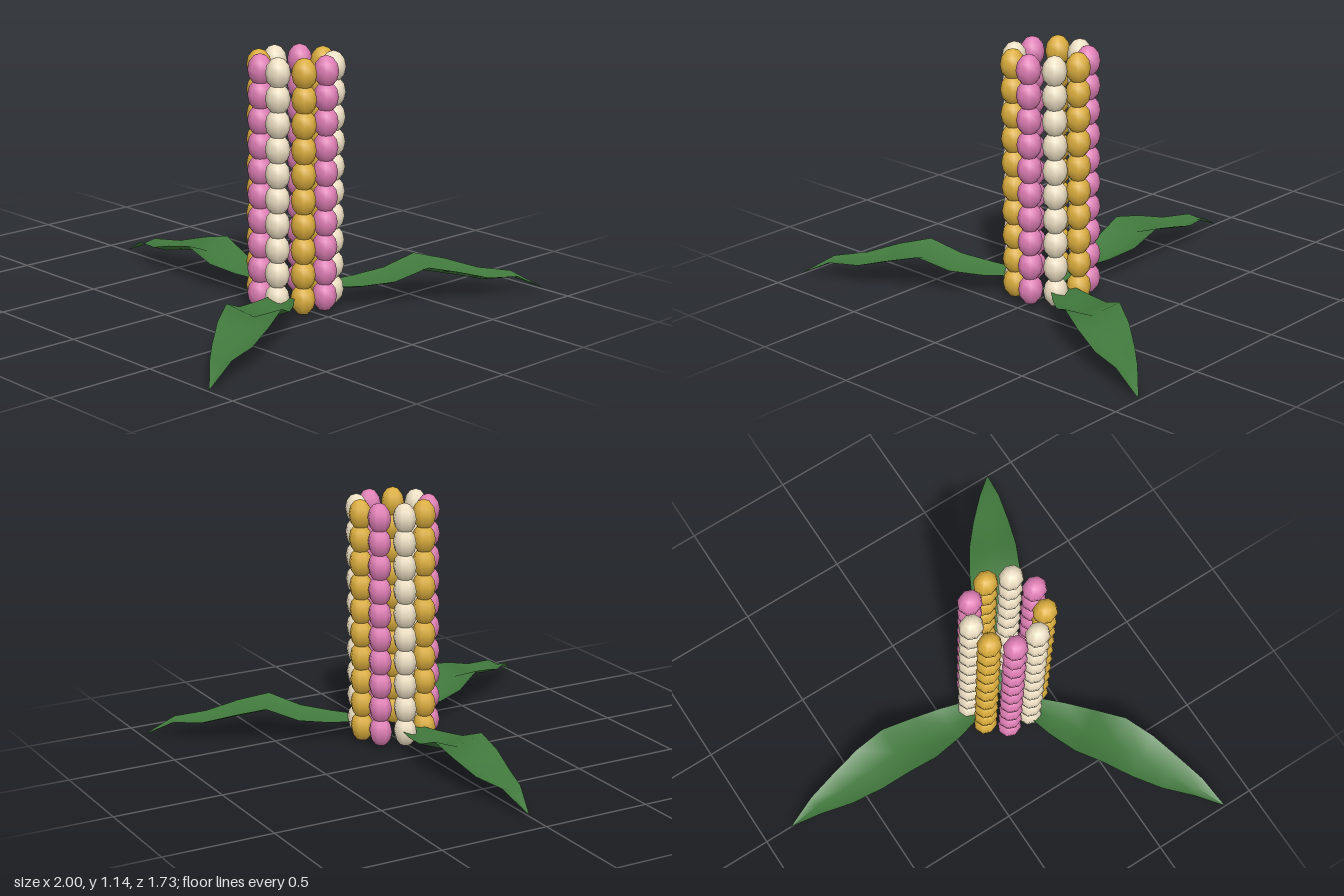
import * as THREE from 'three';

const CENTER_Z = 0.285;

// Pointed leaf running along -z: rises and falls along its spine, edges lifted into a shallow V
function leafGeometry() {
  const length = 1.155, halfWidth = 0.12, lift = 0.045;
  const spine = [0, 0.073, 0.066, 0.075, 0.128, 0.099, 0.066, 0.067, 0.005];
  const rows = spine.length - 1;
  const geo = new THREE.PlaneGeometry(2, 1, 2, rows);
  const pos = geo.attributes.position;
  for (let i = 0; i < pos.count; i++) {
    const row = rows - Math.floor(i / 3); // top row of the plane is the tip
    const side = pos.getX(i);
    const w = Math.sin(Math.PI * row / rows);
    pos.setXYZ(i, side * halfWidth * w, spine[row] + Math.abs(side) * lift * w, -length * row / rows);
  }
  geo.computeVertexNormals();
  return geo;
}

export function createModel() {
  const model = new THREE.Group();
  model.name = 'cornPlant';

  // Nine columns of kernels standing in a ring, colours repeating in threes
  const colours = [0xdcae3e, 0xeee0c4, 0xe07fb6].map(
    (color) => new THREE.MeshStandardMaterial({ color }));
  const kernelGeo = new THREE.SphereGeometry(1, 8, 6);
  kernelGeo.scale(0.052, 0.07, 0.057);
  const cob = new THREE.Group();
  cob.name = 'cob';
  cob.position.z = CENTER_Z;
  for (let c = 0; c < 9; c++) {
    const column = new THREE.Group();
    column.name = 'kernelColumn';
    const a = c * Math.PI * 2 / 9;
    column.position.set(0.163 * Math.cos(a), 0, 0.163 * Math.sin(a));
    for (let k = 0; k < 10; k++) {
      const kernel = new THREE.Mesh(kernelGeo, colours[c % 3]);
      kernel.name = 'kernel';
      kernel.position.y = 0.08 + 0.11 * k;
      column.add(kernel);
    }
    cob.add(column);
  }
  model.add(cob);

  // Three leaves spread from the foot of the cob
  const leafGeo = leafGeometry();
  const green = new THREE.MeshStandardMaterial({ color: 0x41793d, side: THREE.DoubleSide });
  for (let i = 0; i < 3; i++) {
    const leaf = new THREE.Mesh(leafGeo, green);
    leaf.name = 'leaf';
    leaf.position.z = CENTER_Z;
    leaf.rotation.y = i * Math.PI * 2 / 3;
    model.add(leaf);
  }
  return model;
}
